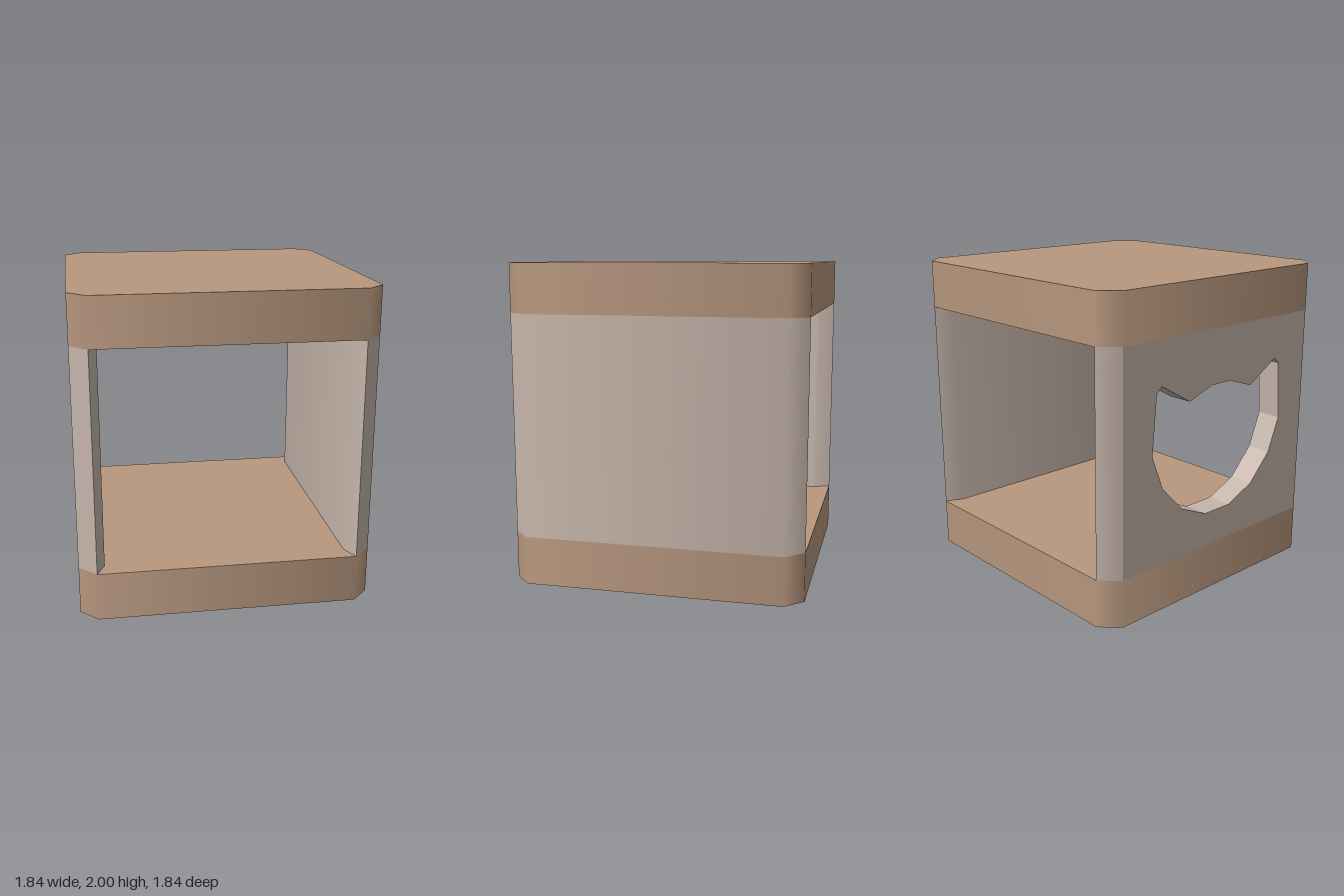
import * as THREE from 'three';

const HALF = 0.92, FLAT = 0.81, INNER = 0.76; // outer half size, chamfer start, inner wall face
const LOW = 0.305, HIGH = 1.695, TOP = 2;

// Upright prism over a convex counterclockwise (x, z) loop, smooth across gentle corners.
function prism(loop, y0, y1, skipLong = false) {
  const n = loop.length, pos = [], nor = [];
  const edge = loop.map(([ax, az], i) => {
    const [bx, bz] = loop[(i + 1) % n];
    return new THREE.Vector2(bz - az, ax - bx);
  });
  const unit = edge.map((e) => e.clone().normalize());
  const blend = (i, j) => unit[i].dot(unit[j]) > 0.5 ? unit[i].clone().add(unit[j]).normalize() : unit[i];
  const put = (p, y, nx, ny, nz) => { pos.push(p[0], y, p[1]); nor.push(nx, ny, nz); };
  for (let i = 0; i < n; i++) {
    if (skipLong && edge[i].length() > 1) continue;
    const a = loop[i], b = loop[(i + 1) % n];
    const na = blend(i, (i + n - 1) % n), nb = blend(i, (i + 1) % n);
    for (const [p, y, m] of [[a, y0, na], [a, y1, na], [b, y1, nb], [a, y0, na], [b, y1, nb], [b, y0, nb]]) {
      put(p, y, m.x, 0, m.y);
    }
  }
  for (let i = 1; i < n - 1; i++) {
    for (const k of [0, i + 1, i]) put(loop[k], y1, 0, 1, 0);
    for (const k of [0, i, i + 1]) put(loop[k], y0, 0, -1, 0);
  }
  const g = new THREE.BufferGeometry();
  g.setAttribute('position', new THREE.Float32BufferAttribute(pos, 3));
  g.setAttribute('normal', new THREE.Float32BufferAttribute(nor, 3));
  return g;
}

// Side panel pierced by an opening with two ears and a rounded chin.
function piercedPanel() {
  const shape = new THREE.Shape([[-FLAT, LOW], [FLAT, LOW], [FLAT, HIGH], [-FLAT, HIGH]]
    .map(([u, v]) => new THREE.Vector2(u, v)));
  const half = [[0.08, 1.35], [0.275, 1.285], [0.51, 1.42], [0.55, 1.385], [0.58, 1.01],
    [0.49, 0.79], [0.32, 0.615], [0.11, 0.525]];
  const mirrored = half.map(([u, v]) => [-u, v]).reverse();
  shape.holes.push(new THREE.Path([...half, ...mirrored].map(([u, v]) => new THREE.Vector2(u, v))));
  const g = new THREE.ExtrudeGeometry(shape, { depth: HALF - INNER, bevelEnabled: false });
  return g.rotateY(-Math.PI / 2).translate(-INNER, 0, 0);
}

export function createModel() {
  const group = new THREE.Group();
  const wood = new THREE.MeshStandardMaterial({ color: 0xb8987f });
  wood.name = 'warm tan';
  const pale = new THREE.MeshStandardMaterial({ color: 0xc6b6ab });
  pale.name = 'pale taupe';
  const add = (name, geometry, material) => {
    const mesh = new THREE.Mesh(geometry, material);
    mesh.name = name;
    group.add(mesh);
  };

  // Chamfered square slabs
  const octagon = [[HALF, -FLAT], [HALF, FLAT], [FLAT, HALF], [-FLAT, HALF],
    [-HALF, FLAT], [-HALF, -FLAT], [-FLAT, -HALF], [FLAT, -HALF]];
  add('baseSlab', prism(octagon, 0, LOW), wood);
  add('topSlab', prism(octagon, HIGH, TOP), wood);

  // Side walls with tapered ends
  const wall = [[HALF, -FLAT], [HALF, FLAT], [FLAT, HALF], [INNER, FLAT], [INNER, -FLAT], [FLAT, -HALF]];
  add('leftWall', prism(wall, LOW, HIGH), pale);
  const opposite = wall.map(([x, z]) => [-x, -z]);
  add('rightWallEnds', prism(opposite, LOW, HIGH, true), pale);
  add('rightWallPanel', piercedPanel(), pale);

  return group;
}
